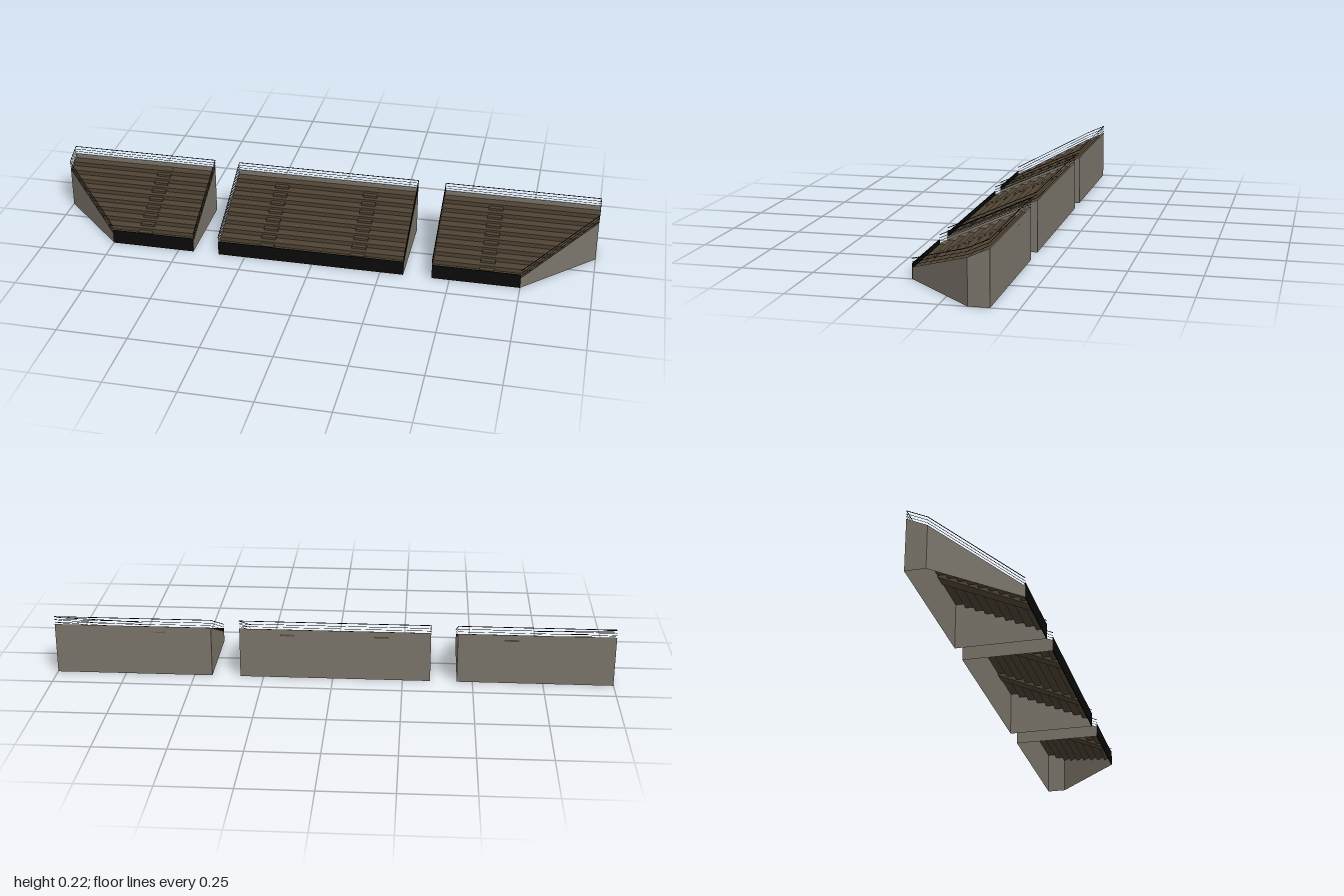
import * as THREE from 'three';

const BACK = -0.16, FRONT = 0.16, ROWS = 9;
const RUN = (FRONT - BACK) / ROWS, RISE = 0.0161;
const wallTop = z => 0.04 + (FRONT - z) * 0.453;
const treadY = i => 0.037 + RISE * i;

const mat = (name, color) => {
  const m = new THREE.MeshStandardMaterial({ color, side: THREE.DoubleSide, flatShading: true });
  m.name = name;
  return m;
};

export function createModel() {
  const concrete = mat('grey concrete', 0x7b756a);
  const seating = mat('brown seating', 0x4e4333);
  const black = mat('black metal', 0x0a0a0a);
  const model = new THREE.Group();
  model.name = 'grandstand';

  const add = (parent, name, geometry, material) => {
    const mesh = new THREE.Mesh(geometry, material);
    mesh.name = name;
    parent.add(mesh);
    return mesh;
  };

  // Four-cornered faces, each a list of [x, y, z] corners
  const quads = faces => {
    const pos = [];
    for (const [a, b, c, d] of faces) pos.push(...a, ...b, ...c, ...a, ...c, ...d);
    const g = new THREE.BufferGeometry();
    g.setAttribute('position', new THREE.Float32BufferAttribute(pos, 3));
    g.computeVertexNormals();
    return g;
  };

  // Thin bar between two points
  const rail = (parent, a, b, radius) => {
    const dir = b.clone().sub(a);
    const m = add(parent, 'rail', new THREE.CylinderGeometry(radius, radius, dir.length(), 6), black);
    m.position.copy(a).add(b).multiplyScalar(0.5);
    m.quaternion.setFromUnitVectors(new THREE.Vector3(0, 1, 0), dir.normalize());
  };

  // Stepped aisle with half-height steps and a sloping underside
  const aisle = (parent, x, width) => {
    const s = new THREE.Shape();
    s.moveTo(-FRONT, 0.018);
    for (let i = 0; i < ROWS; i++) {
      const z = FRONT - i * RUN, y = treadY(i) + 0.0005;
      s.lineTo(-z, y);
      s.lineTo(-z + RUN / 2, y);
      if (i < ROWS - 1) {
        s.lineTo(-z + RUN / 2, y + RISE / 2);
        s.lineTo(-z + RUN, y + RISE / 2);
      } else s.lineTo(-z + RUN, y);
    }
    s.lineTo(-BACK, treadY(ROWS - 1) - 0.006);
    const g = new THREE.ExtrudeGeometry(s, { depth: width, bevelEnabled: false });
    g.rotateY(Math.PI / 2);
    g.translate(x - width / 2, 0, 0);
    add(parent, 'aisle', g, seating);
  };

  // One stand: left and right edges are functions of z, outline runs front to back
  const stand = (name, xl, xr, leftPath, rightPath, aisles) => {
    const group = new THREE.Group();
    group.name = name;
    model.add(group);

    // Open-bottomed rows of treads and risers
    const faces = [];
    for (let i = 0; i < ROWS; i++) {
      const z0 = FRONT - i * RUN, z1 = z0 - RUN, y = treadY(i), yb = i ? treadY(i - 1) : 0;
      faces.push([[xl(z0), y, z0], [xr(z0), y, z0], [xr(z1), y, z1], [xl(z1), y, z1]]);
      if (i) faces.push([[xl(z0), yb, z0], [xr(z0), yb, z0], [xr(z0), y, z0], [xl(z0), y, z0]]);
    }
    add(group, 'seatingRows', quads(faces), seating);
    aisles.forEach(x => aisle(group, x, 0.052));

    // Sloping side walls and back wall with three rails above each
    const outline = [...leftPath, ...rightPath.slice().reverse()];
    const walls = [];
    for (let i = 0; i < outline.length - 1; i++) {
      const [ax, az] = outline[i], [bx, bz] = outline[i + 1];
      const ay = wallTop(az), by = wallTop(bz);
      walls.push([[ax, 0, az], [ax, ay, az], [bx, by, bz], [bx, 0, bz]]);
      [[0.008, 0.0007], [0.018, 0.0008], [0.029, 0.0013]].forEach(([h, r]) =>
        rail(group, new THREE.Vector3(ax, ay + h, az), new THREE.Vector3(bx, by + h, bz), r));
    }
    add(group, 'walls', quads(walls), concrete);

    // Dark front panel
    const l = xl(FRONT), r = xr(FRONT);
    const panel = add(group, 'frontPanel', new THREE.BoxGeometry(r - l, 0.053, 0.003), black);
    panel.position.set((l + r) / 2, 0.0265, FRONT - 0.0005);
  };

  // Outer edge is cut back at 45 degrees toward the front
  const outer = z => 1 - Math.max(0, z + 0.09);
  const straight = x => [[x, FRONT], [x, BACK]];
  const cut = s => [[s * 0.75, FRONT], [s, -0.09], [s, BACK]];

  stand('rightStand', z => -outer(z), () => -0.444, cut(-1), straight(-0.444), [-0.634]);
  stand('middleStand', () => -0.349, () => 0.334, straight(-0.349), straight(0.334), [-0.173, 0.162]);
  stand('leftStand', () => 0.436, outer, straight(0.436), cut(1), [0.628]);

  return model;
}
